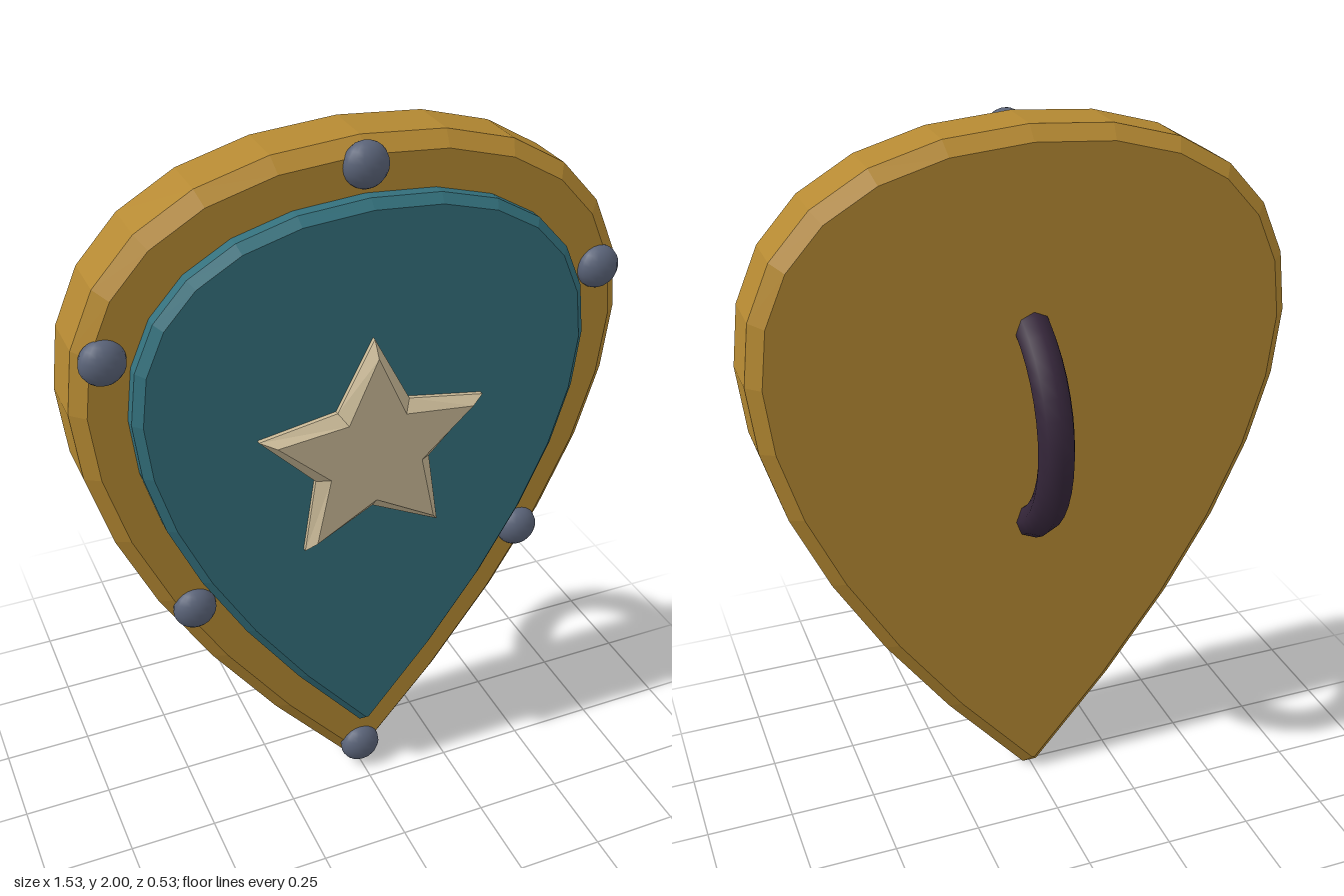
import * as THREE from 'three';

const mat = (name, color) => {
  const m = new THREE.MeshStandardMaterial({ color });
  m.name = name;
  return m;
};

// Teardrop outline: one cubic curve per side, meeting in a tiny flat at the tip
function teardrop(top, bottom, reach, pull) {
  const tip = 0.004;
  const s = new THREE.Shape();
  s.moveTo(tip, bottom);
  s.bezierCurveTo(reach, pull, reach, top, 0, top);
  s.bezierCurveTo(-reach, top, -reach, pull, -tip, bottom);
  return s;
}

function star(outer, inner) {
  const pts = [];
  for (let i = 0; i < 10; i++) {
    const a = Math.PI / 2 + (i * Math.PI) / 5;
    const r = i % 2 ? inner : outer;
    pts.push(new THREE.Vector2(r * Math.cos(a), r * Math.sin(a)));
  }
  return new THREE.Shape(pts);
}

// Bevelled plate whose full thickness runs from z = back to z = front
function plate(shape, back, front, bevelSize, bevelThickness) {
  const g = new THREE.ExtrudeGeometry(shape, {
    depth: front - back - 2 * bevelThickness,
    bevelEnabled: true, bevelSegments: 1, bevelSize, bevelThickness,
    curveSegments: 12,
  });
  return g.translate(0, 0, back + bevelThickness);
}

export function createModel() {
  const gold = mat('gold', 0xb58932);
  const teal = mat('teal', 0x33707c);
  const ivory = mat('ivory', 0xc8b896);
  const steel = mat('steel', 0x5a6378);
  const leather = mat('darkLeather', 0x35263a);

  const group = new THREE.Group();
  group.name = 'shield';
  const add = (name, geometry, material) => {
    const m = new THREE.Mesh(geometry, material);
    m.name = name;
    group.add(m);
    return m;
  };

  // Body, raised panel and star emblem
  add('shieldBody', plate(teardrop(1.962, 0.038, 0.97, 1.107), -0.045, 0.17, 0.038, 0.036), gold);
  add('frontPanel', plate(teardrop(1.842, 0.22, 0.807, 1.14), 0.1, 0.225, 0.023, 0.023), teal);
  add('starEmblem', plate(star(0.29, 0.137), 0.16, 0.265, 0.03, 0.028), ivory)
    .position.y = 1.168;

  // Rivets around the rim
  const rivet = new THREE.SphereGeometry(0.06, 16, 12);
  for (const [x, y] of [[0, 1.937], [0.678, 1.547], [-0.678, 1.547], [0.492, 0.75], [-0.492, 0.75], [0, 0.07]]) {
    const m = add('rivet', rivet, steel);
    m.position.set(x, y, 0.17);
    m.scale.z = 0.72;
  }

  // Curved grip on the back, its ends buried in the body
  const arc = 2.5;
  const grip = new THREE.TorusGeometry(0.325, 0.052, 8, 16, arc);
  grip.rotateZ(-arc / 2).rotateY(Math.PI / 2);
  add('backGrip', grip, leather).position.set(0, 1.17, 0.112);

  return group;
}
